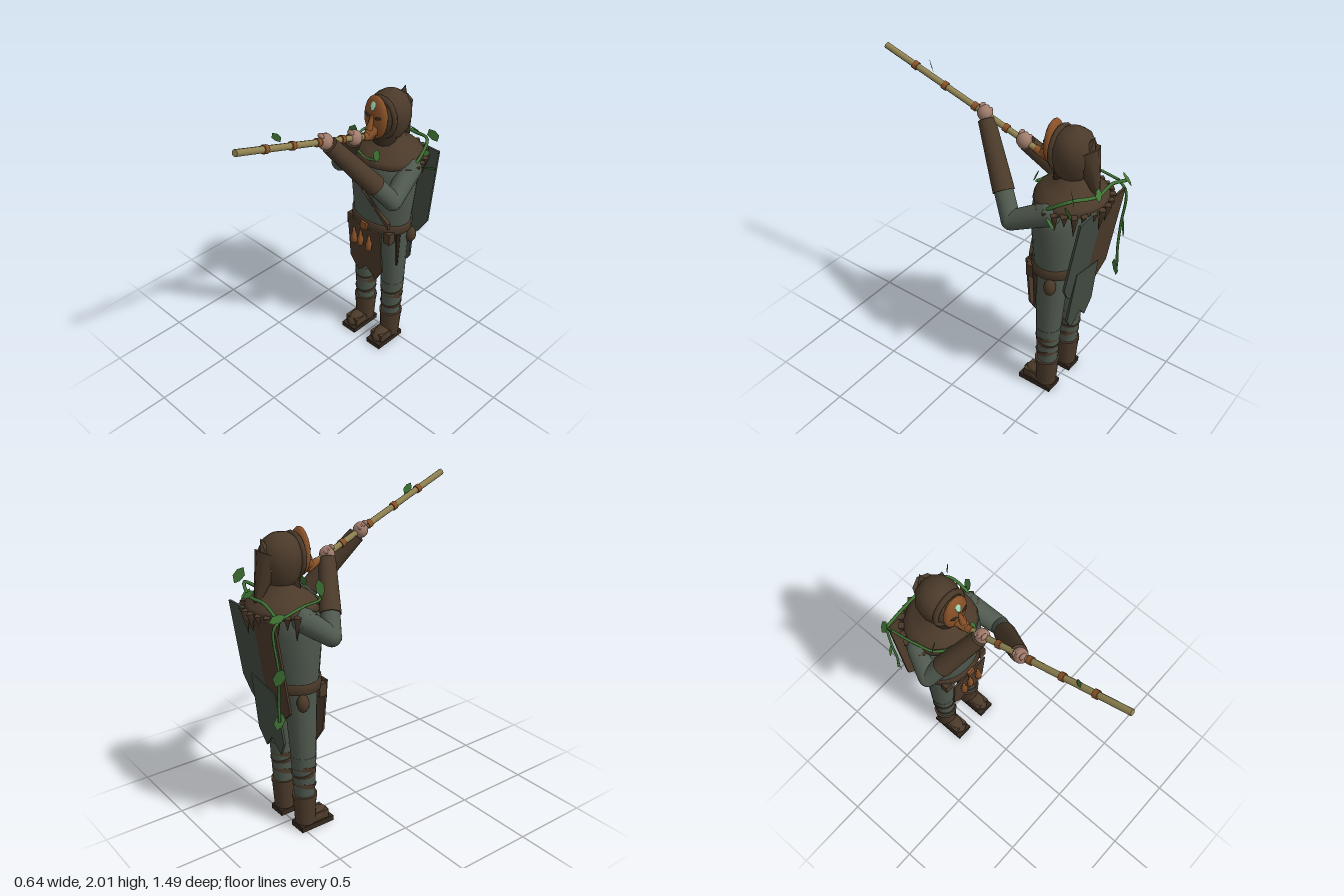
import * as THREE from 'three';

const mat = (name, color, side = THREE.FrontSide) => {
  const m = new THREE.MeshStandardMaterial({ color, side });
  m.name = name;
  return m;
};
const V = (x, y, z) => new THREE.Vector3(x, y, z);
const CX = 0.01, CZ = -0.47; // body axis

export function createModel() {
  const root = new THREE.Group();
  root.name = 'maskedHunter';
  const cloth = mat('greyGreenCloth', 0x4f594e);
  const cloak = mat('cloakGrey', 0x434c43);
  const leather = mat('darkLeather', 0x4b3a2a);
  const dark = mat('shadowBrown', 0x33271c);
  const wood = mat('carvedWood', 0x8a5229);
  const bamboo = mat('bamboo', 0x8f8251);
  const skin = mat('skin', 0xa07c6c);
  const green = mat('leafGreen', 0x3f7534, THREE.DoubleSide);
  const pale = mat('paleMark', 0x9fd6b4);

  const add = (name, geo, m, pos = [0, 0, 0], parent = root) => {
    const mesh = new THREE.Mesh(geo, m);
    mesh.name = name;
    mesh.position.set(...pos);
    parent.add(mesh);
    return mesh;
  };
  // Tapered round bar between two points
  const limb = (name, a, b, ra, rb, m, seg = 14) => {
    const mesh = add(name, new THREE.CylinderGeometry(rb, ra, a.distanceTo(b), seg), m);
    mesh.position.copy(a).lerp(b, 0.5);
    mesh.quaternion.setFromUnitVectors(V(0, 1, 0), b.clone().sub(a).normalize());
    return mesh;
  };
  const ball = (name, p, sx, sy, sz, m) => {
    const mesh = add(name, new THREE.SphereGeometry(1, 14, 10), m, p);
    mesh.scale.set(sx, sy, sz);
    return mesh;
  };
  // Surface of revolution, profile given bottom to top
  const lathe = (name, pts, m, pos, depth = 1, seg = 20) => {
    const geo = new THREE.LatheGeometry(pts.map(p => new THREE.Vector2(...p)), seg);
    geo.scale(1, 1, depth);
    return add(name, geo, m, pos);
  };
  // Flat plate outlined in x and y, with z set by a rule
  const plate = (name, pts, depth, m, rule) => {
    const shape = new THREE.Shape(pts.map(p => new THREE.Vector2(...p)));
    const geo = new THREE.ExtrudeGeometry(shape, { depth, bevelEnabled: false });
    const p = geo.attributes.position;
    for (let i = 0; i < p.count; i++) p.setZ(i, p.getZ(i) + rule(p.getX(i), p.getY(i)));
    geo.computeVertexNormals();
    return add(name, geo, m);
  };
  const leaf = (x, y, z, size, rx, ry, rz) => {
    const s = new THREE.Shape([[0, 0], [0.3, 0.35], [0.25, 0.8], [0, 1.1], [-0.3, 0.75], [-0.22, 0.3]]
      .map(p => new THREE.Vector2(p[0] * size, (p[1] - 0.5) * size)));
    add('leaf', new THREE.ShapeGeometry(s), green, [x, y, z]).rotation.set(rx, ry, rz);
  };
  const vine = (pts, r = 0.008) =>
    add('vine', new THREE.TubeGeometry(new THREE.CatmullRomCurve3(pts.map(p => V(...p))), 28, r, 6), green);

  // Legs, wraps and boots
  for (const s of [-1, 1]) {
    const x = CX + s * 0.115;
    limb('thigh', V(x, 0.5, CZ), V(CX + s * 0.1, 0.95, CZ), 0.076, 0.1, cloth);
    limb('shin', V(x, 0.2, CZ), V(x, 0.51, CZ), 0.062, 0.078, cloth);
    [[0.43, 0.2, 0.073], [0.39, -0.3, 0.072], [0.31, 0.28, 0.069]].forEach(([y, t, r]) => {
      add('legWrap', new THREE.CylinderGeometry(r + 0.004, r, 0.03, 14), leather, [x, y, CZ]).rotation.x = t;
    });
    limb('bootShaft', V(x, 0.04, CZ), V(x, 0.235, CZ), 0.062, 0.074, leather);
    limb('bootCuff', V(x, 0.21, CZ), V(x, 0.24, CZ), 0.075, 0.077, leather);
    ball('bootToe', [x, 0.055, -0.395], 0.055, 0.055, 0.09, leather);
    add('bootFoot', new THREE.BoxGeometry(0.1, 0.06, 0.16), leather, [x, 0.06, -0.41]);
    add('bootSole', new THREE.BoxGeometry(0.115, 0.035, 0.23), dark, [x, 0.0175, -0.415]);
  }

  // Hips, torso and belt
  lathe('hips', [[0.001, 0.84], [0.15, 0.86], [0.195, 0.95], [0.195, 0.97]], cloth, [CX, 0, CZ], 0.72);
  lathe('torso', [[0.195, 0.95], [0.205, 1.0], [0.22, 1.15], [0.232, 1.28], [0.225, 1.38], [0.18, 1.46], [0.08, 1.52], [0.001, 1.53]],
    cloth, [CX, 0, CZ], 0.72, 24);
  lathe('belt', [[0.19, 0.94], [0.212, 0.94], [0.212, 1.0], [0.19, 1.0]], leather, [CX, 0, CZ], 0.77, 24);
  add('buckle', new THREE.BoxGeometry(0.05, 0.05, 0.02), wood, [CX, 0.968, -0.303]);
  for (const s of [-1, 1]) {
    ball('beltPouch', [CX + s * 0.2, 0.89, -0.52], 0.037, 0.055, 0.037, leather);
    add('pouchFlap', new THREE.BoxGeometry(0.05, 0.08, 0.05), leather, [CX + s * 0.155, 0.92, -0.365]);
  }
  limb('knifeSheath', V(0.2, 0.69, -0.415), V(0.2, 0.94, -0.41), 0.006, 0.016, dark, 6);

  // Front apron and its three flasks
  plate('apron', [[-0.13, 0.955], [-0.13, 0.64], [-0.065, 0.54], [CX, 0.62], [0.085, 0.54], [0.145, 0.64], [0.145, 0.955]],
    0.012, leather, (x, y) => -0.315 - (0.955 - y) * 0.1);
  for (const [x, h] of [[-0.065, 0], [-0.01, 0.005], [0.063, 0]]) {
    lathe('flask', [[0.001, 0], [0.021, 0], [0.021, 0.045], [0.01, 0.08], [0.01, 0.105], [0.001, 0.105]],
      wood, [x, 0.81 + h, -0.292], 1, 10);
  }

  // Chest strap following the torso's curve
  const strap = plate('chestStrap', [[-0.17, 1.47], [-0.05, 1.29], [0.0, 1.22], [0.17, 0.99], [0.17, 1.03], [0.02, 1.24], [-0.03, 1.31], [-0.13, 1.47]],
    0.02, leather, (x, y) => CZ - 0.003 + 0.72 * Math.sqrt(Math.max(0.01, (y > 1.38 ? 0.043 : 0.049) - (x - CX) ** 2)));
  strap.material = leather;

  // Mantle, ragged fringe and collar
  lathe('mantle', [[0.2, 1.4], [0.228, 1.415], [0.215, 1.45], [0.17, 1.49], [0.11, 1.52], [0.085, 1.56], [0.07, 1.56]],
    leather, [CX, 0, -0.51], 0.93, 18);
  for (let i = 0; i < 16; i++) {
    const a = Math.PI * (0.9 + i * 0.08) + 0.03, len = 0.08 + 0.035 * (i % 3);
    const spike = add('fringeSpike', new THREE.ConeGeometry(0.026, len, 4), leather,
      [CX + Math.cos(a) * 0.225, 1.43 - len / 2, -0.51 + Math.sin(a) * 0.21]);
    spike.rotation.set(Math.PI + Math.sin(a) * 0.12, 0, Math.cos(a) * 0.15);
  }
  limb('neck', V(CX, 1.5, -0.48), V(CX, 1.62, -0.48), 0.085, 0.08, dark);

  // Cloak of three overlapping panels
  const side = (x, y) => -0.615 - (y - 0.76) * 0.15;
  plate('cloakLeftPanel', [[0.0, 1.43], [0.0, 0.8], [0.1, 0.77], [0.19, 0.85], [0.25, 0.95], [0.24, 1.43]], 0.014, cloak, side);
  plate('cloakRightPanel', [[0.0, 1.42], [-0.225, 1.42], [-0.225, 0.87], [-0.1, 0.76], [0.0, 0.8]], 0.014, leather, side);
  plate('cloakLowerPanel', [[-0.1, 0.95], [-0.12, 0.63], [-0.065, 0.53], [CX, 0.62], [0.085, 0.53], [0.15, 0.63], [0.14, 1.0]],
    0.014, cloak, (x, y) => -0.602 - (y - 0.53) * 0.11);

  // Hood with a drooping tail
  lathe('hood', [[0.085, 1.56], [0.11, 1.6], [0.128, 1.68], [0.125, 1.74], [0.1, 1.795], [0.055, 1.828], [0.001, 1.84]],
    leather, [CX, 0, -0.505], 1, 12);
  limb('hoodTail', V(CX, 1.73, -0.575), V(CX, 1.42, -0.69), 0.085, 0.003, leather, 8);
  add('hoodFold', new THREE.ConeGeometry(0.08, 0.17, 6), leather, [CX, 1.745, -0.6]).rotation.x = -0.35;
  const rim = add('hoodRim', new THREE.TorusGeometry(0.105, 0.017, 6, 18), leather, [CX, 1.695, -0.425]);
  rim.scale.y = 1.15;

  // Carved mask with brow, eyes, snout and forehead mark
  ball('mask', [CX, 1.71, -0.378], 0.087, 0.14, 0.037, wood);
  for (const s of [-1, 1]) {
    const eye = ball('eyeSlit', [CX + s * 0.04, 1.725, -0.347], 0.022, 0.01, 0.008, dark);
    eye.rotation.set(0, s * 0.2, s * 0.25);
  }
  limb('snout', V(CX, 1.64, -0.36), V(0.012, 1.605, -0.29), 0.045, 0.022, wood, 6);
  limb('noseRidge', V(CX, 1.74, -0.347), V(CX, 1.65, -0.32), 0.008, 0.022, wood, 6);
  const mark = ball('foreheadMark', [CX, 1.795, -0.349], 0.018, 0.032, 0.005, pale);
  mark.rotation.x = -0.4;

  // Blowpipe with bands
  const at = z => V(0.034 + 0.076 * z, 1.722 + 0.363 * z, z);
  limb('blowpipe', at(-0.33), at(0.733), 0.018, 0.019, bamboo, 10);
  for (const z of [-0.075, 0.13, 0.33, 0.53]) limb('pipeBand', at(z - 0.014), at(z + 0.014), 0.025, 0.025, wood, 10);
  limb('mouthpiece', at(-0.34), at(-0.26), 0.027, 0.022, wood, 10);

  // Arms: shoulder, elbow, hand
  const arms = [
    [V(0.2, 1.39, -0.49), V(0.255, 1.285, -0.275), at(0.065)],
    [V(-0.19, 1.39, -0.5), V(-0.265, 1.285, -0.37), at(-0.19)],
  ];
  for (const [sh, el, hand] of arms) {
    ball('shoulder', sh.toArray(), 0.07, 0.07, 0.07, cloth);
    limb('upperArm', sh, el, 0.07, 0.058, cloth);
    ball('elbow', el.toArray(), 0.058, 0.058, 0.058, cloth);
    const cuff = el.clone().lerp(hand, 0.27), wrist = el.clone().lerp(hand, 0.94);
    limb('forearm', el, cuff, 0.057, 0.056, cloth);
    limb('bracer', cuff, wrist, 0.064, 0.05, leather);
    ball('hand', hand.toArray(), 0.043, 0.048, 0.046, skin);
    for (let i = -1; i < 2; i++) {
      ball('finger', at(hand.z + i * 0.024).add(V(-0.012, 0.03, 0)).toArray(), 0.024, 0.017, 0.013, skin);
    }
  }

  // Vines and leaves
  vine([[-0.25, 1.45, -0.7], [-0.1, 1.5, -0.69], [0.05, 1.5, -0.69], [0.2, 1.53, -0.63], [0.235, 1.46, -0.52], [0.22, 1.38, -0.43]], 0.01);
  vine([[-0.23, 1.45, -0.66], [-0.225, 1.4, -0.715], [-0.235, 1.15, -0.7], [-0.225, 1.0, -0.7], [-0.23, 0.85, -0.705]]);
  vine([[-0.23, 1.45, -0.66], [-0.21, 1.48, -0.5], [-0.16, 1.47, -0.37], [0.0, 1.45, -0.32], [0.08, 1.47, -0.32]]);
  [[-0.18, 1.54, -0.38, 0.09, 0.3, 0.6, -0.5], [0.23, 1.56, -0.65, 0.1, 0.2, 0.7, 0.4],
    [0.29, 1.4, -0.56, 0.09, 0.9, 0.5, 0.6], [-0.245, 1.46, -0.71, 0.09, 0.9, 0.4, 0.5],
    [-0.25, 1.12, -0.71, 0.11, 0, 0.7, 0.4], [-0.22, 0.84, -0.7, 0.1, 0, 1.1, 0.3],
    [0.08, 1.5, -0.315, 0.07, -0.5, 0.5, 0.3], [0.05, 1.51, -0.7, 0.08, 0.7, 0, 0.8],
    [0.21, 1.44, -0.62, 0.08, 0.6, 1.2, 0], [0.055, 1.93, 0.43, 0.07, 0.3, 0.9, 0.3]].forEach(l => leaf(...l));

  return root;
}
